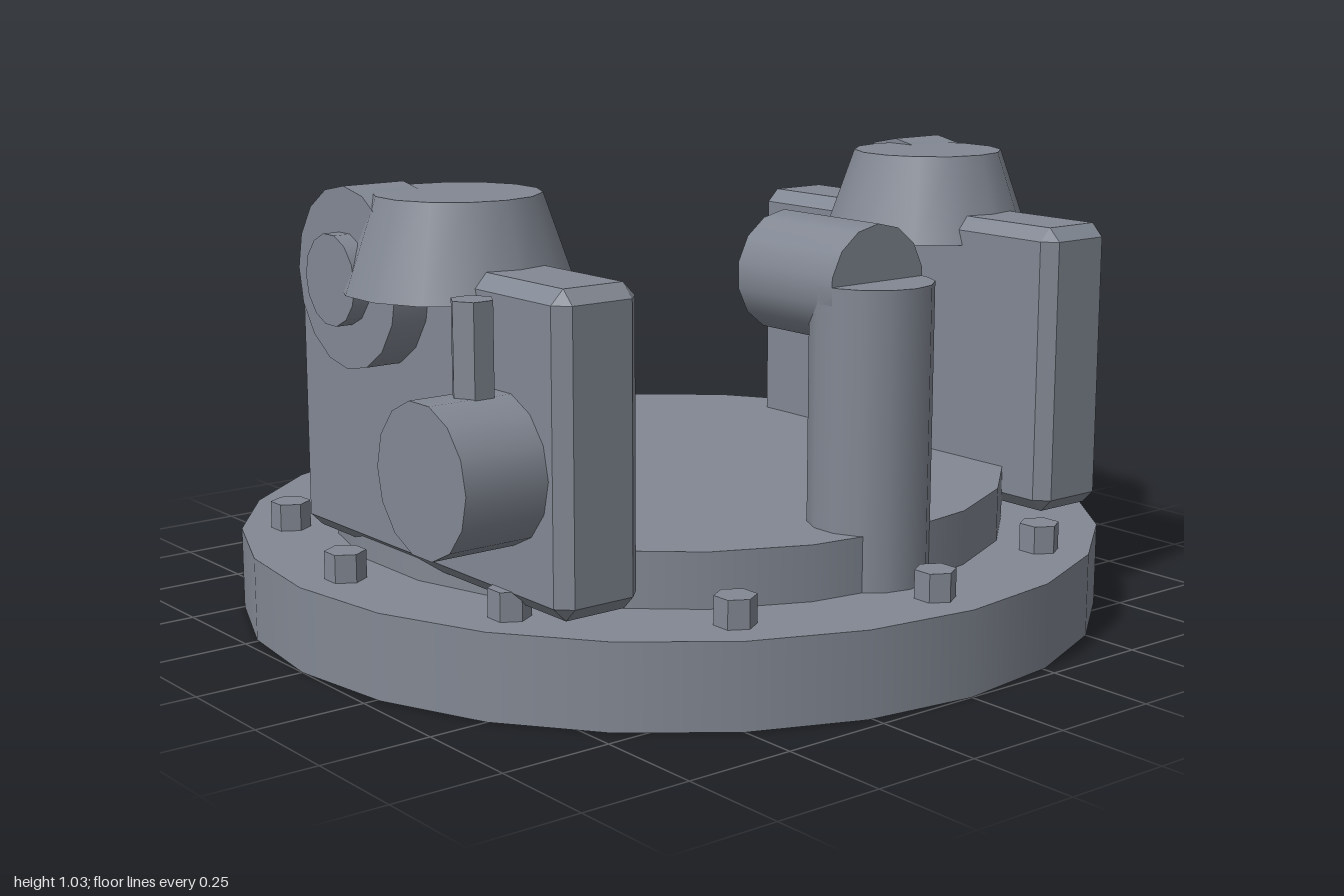
import * as THREE from 'three';
import { ConvexGeometry } from 'three/addons/geometries/ConvexGeometry.js';

const color = 0x828893;
const smooth = new THREE.MeshStandardMaterial({ color });
const flat = new THREE.MeshStandardMaterial({ color, flatShading: true });

// Box with every edge and corner cut off by c
function chamferBox(w, h, d, c) {
  const points = [];
  for (const sx of [-1, 1]) for (const sy of [-1, 1]) for (const sz of [-1, 1]) {
    for (let full = 0; full < 3; full++) {
      const half = [w / 2, h / 2, d / 2].map((v, i) => (i === full ? v : v - c));
      points.push(new THREE.Vector3(sx * half[0], sy * half[1], sz * half[2]));
    }
  }
  return new ConvexGeometry(points);
}

export function createModel() {
  const model = new THREE.Group();

  function add(name, geometry, x, y, z, material = smooth) {
    const mesh = new THREE.Mesh(geometry, material);
    mesh.name = name;
    mesh.position.set(x, y, z);
    model.add(mesh);
    return mesh;
  }

  // Cylinder spanning from..to along an axis; a and b are its other two coordinates in x, y, z order
  function cylinder(name, axis, r, from, to, a, b, sides, rTop = r, material = smooth) {
    const g = new THREE.CylinderGeometry(rTop, r, Math.abs(to - from), sides);
    const mid = (from + to) / 2;
    if (axis === 'x') return add(name, g.rotateZ(Math.PI / 2), mid, a, b, material);
    if (axis === 'z') return add(name, g.rotateX(Math.PI / 2), a, b, mid, material);
    return add(name, g, a, mid, b, material);
  }

  // Stepped base
  cylinder('base', 'y', 1, 0, 0.188, 0, 0, 24);
  cylinder('raisedPlate', 'y', 0.783, 0.188, 0.31, 0, 0, 22);

  // Ring of hexagonal bolts
  for (let i = 0; i < 12; i++) {
    const t = (i * Math.PI) / 6;
    cylinder('bolt', 'y', 0.045, 0.18, 0.25, 0.887 * Math.sin(t), 0.887 * Math.cos(t), 6, 0.045, flat);
  }

  // Side walls, each with a tapered cap and a round hinge on the outside
  for (const [side, s] of [['left', 1], ['right', -1]]) {
    add(side + 'Wall', chamferBox(0.204, 0.664, 1, 0.03), s * 0.683, 0.55, 0.15, flat);
    cylinder(side + 'Cap', 'y', 0.248, 0.817, 1.018, s * 0.683, 0.15, 14, 0.178);
    cylinder(side + 'Hinge', 'x', 0.194, s * 0.72, s * 0.867, 0.836, 0, 16);
    cylinder(side + 'HingeHub', 'x', 0.098, s * 0.74, s * 0.905, 0.836, 0, 14);
  }

  // Knob and hexagonal upright pin on the right wall
  cylinder('knob', 'x', 0.159, -0.977, -0.76, 0.503, 0.448, 14);
  cylinder('knobPin', 'y', 0.046, 0.55, 0.85, -0.85, 0.448, 6, 0.046, flat).rotation.y = Math.PI / 6;

  // Front post with a barrel pointing inwards
  cylinder('post', 'y', 0.132, 0.188, 0.83, 0, 0.682, 14);
  cylinder('barrel', 'z', 0.132, 0.4, 0.698, 0, 0.82, 14);

  return model;
}
